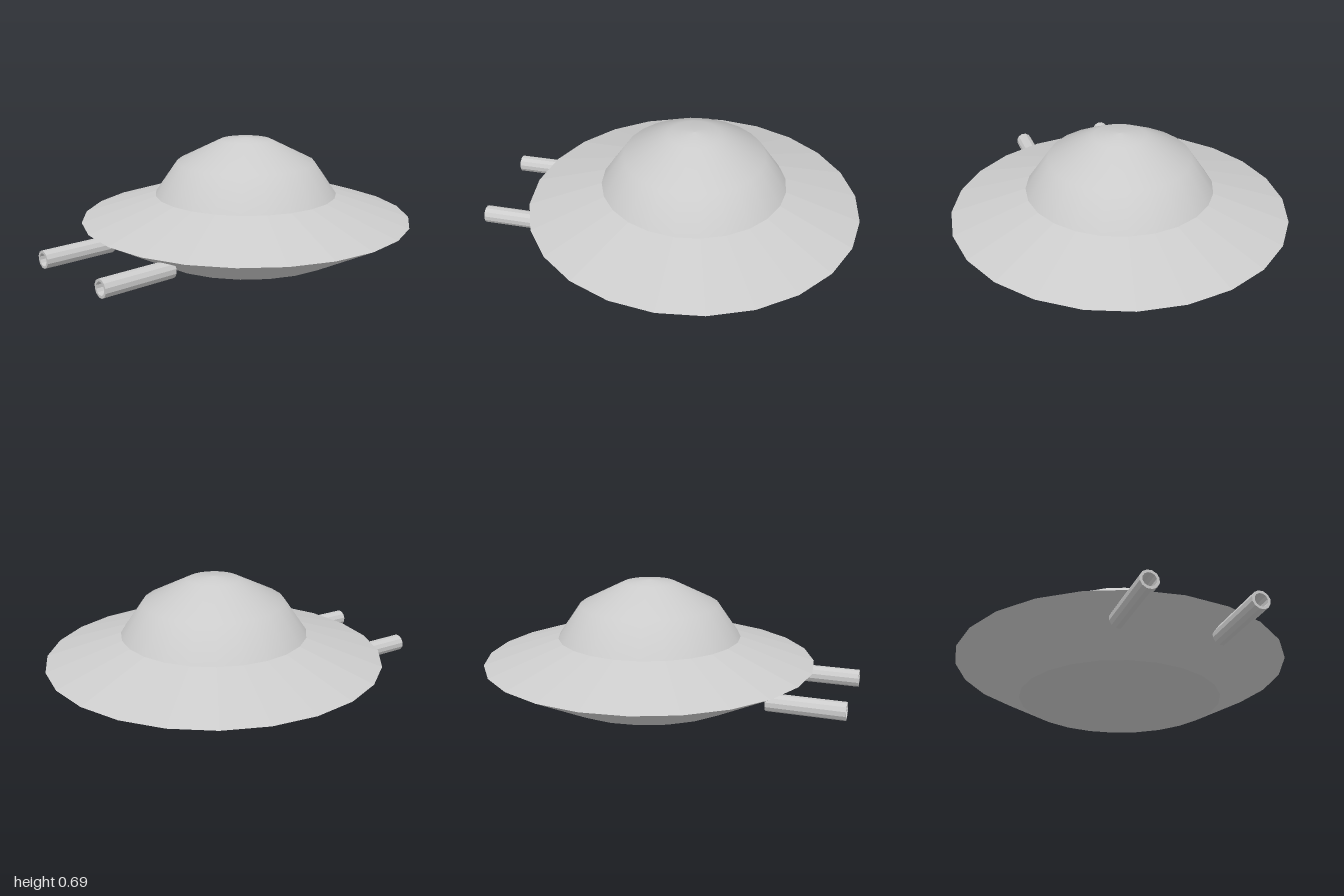
import * as THREE from 'three';

const SIDES = 24;
const CENTRE_X = 0.105;

// Surface of revolution from [radius, height] pairs listed bottom to top
function lathe(name, profile, sides, flatShading) {
  const points = profile.map(([r, y]) => new THREE.Vector2(r, y));
  const material = new THREE.MeshStandardMaterial({ color: 0xcccccc, flatShading });
  const mesh = new THREE.Mesh(new THREE.LatheGeometry(points, sides), material);
  mesh.name = name;
  return mesh;
}

export function createModel() {
  const model = new THREE.Group();
  model.name = 'flyingSaucer';

  // Saucer body: faceted rim, smooth cabin dome and shallow smooth belly
  const saucer = new THREE.Group();
  saucer.name = 'saucer';
  saucer.position.x = CENTRE_X;
  saucer.add(
    lathe('rim', [[0.54, 0.072], [0.893, 0.258], [0.495, 0.386]], SIDES, true),
    lathe('dome', [[0.495, 0.386], [0.375, 0.56], [0.14, 0.677], [0, 0.692]], SIDES, false),
    lathe('belly', [[0, 0], [0.2, 0.013], [0.54, 0.072]], SIDES, false)
  );
  model.add(saucer);

  // Pair of hollow exhaust pipes under the rim, pointing to -x
  const outer = 0.046, inner = 0.033, length = 0.39;
  const section = [[outer, 0], [outer, length], [inner, length], [inner, 0], [outer, 0]];
  for (const side of [-1, 1]) {
    const pipe = lathe(side > 0 ? 'frontPipe' : 'backPipe', section, 12, true);
    pipe.geometry.rotateY(Math.PI / 12);
    pipe.rotation.z = Math.PI / 2;
    pipe.position.set(-0.61, 0.175, side * 0.26);
    model.add(pipe);
  }

  return model;
}
